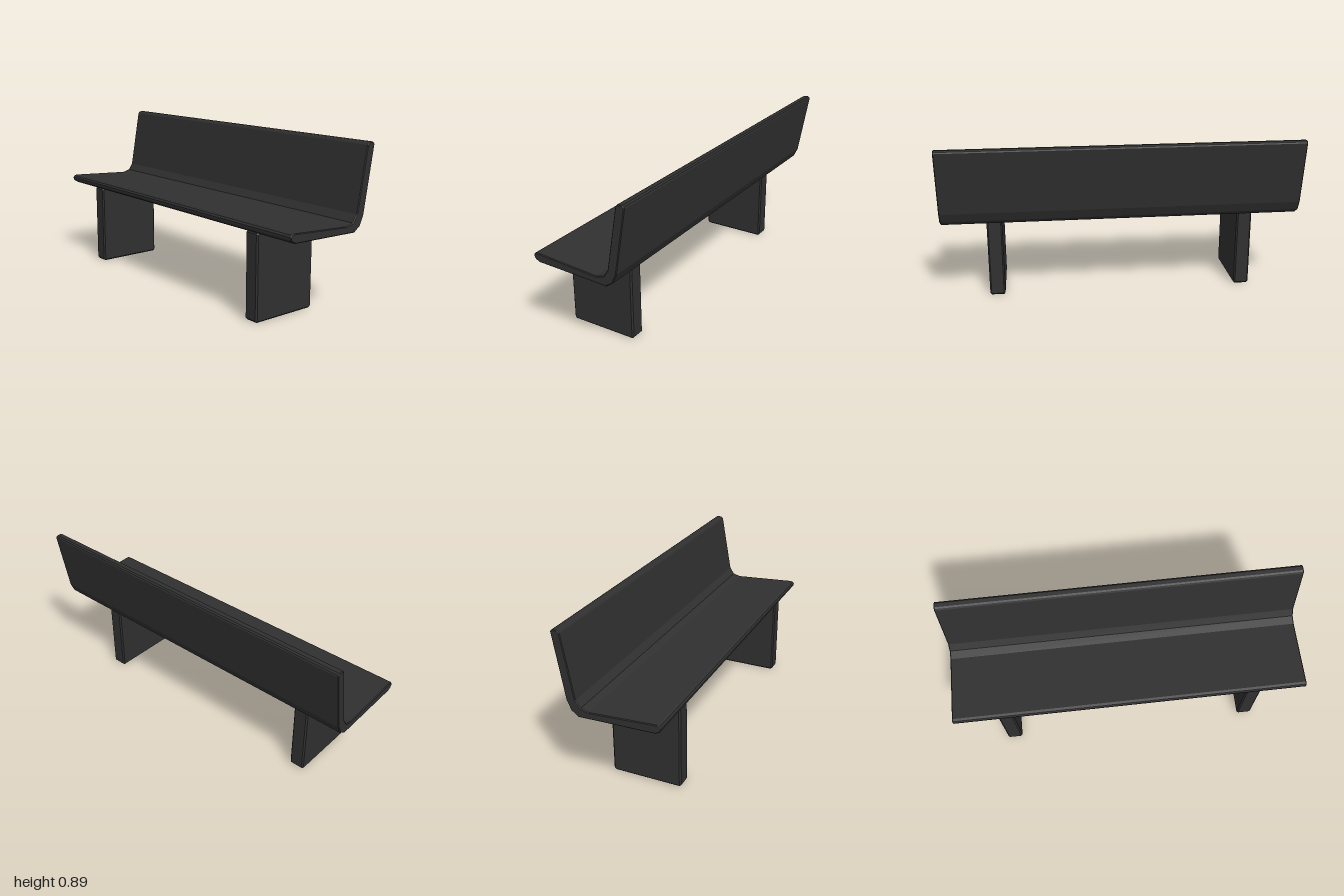
import * as THREE from 'three';

// Extrude a (z, y) side profile along x, centred on x = 0, with chamfered ends
function extrudeAcross(points, width, bevel) {
  const shape = new THREE.Shape(points.map(([z, y]) => new THREE.Vector2(z, y)));
  const geometry = new THREE.ExtrudeGeometry(shape, {
    depth: width - 2 * bevel,
    bevelEnabled: true,
    bevelSize: bevel,
    bevelThickness: bevel,
    bevelOffset: -bevel,
    bevelSegments: 1,
  });
  geometry.translate(0, 0, -(width / 2 - bevel));
  geometry.rotateY(-Math.PI / 2);
  return geometry;
}

export function createModel() {
  const group = new THREE.Group();
  group.name = 'bench';
  const charcoal = new THREE.MeshStandardMaterial({ color: 0x303030 });
  charcoal.name = 'charcoal';

  // One bent slab forms the seat and the backrest
  const slabProfile = [
    [0.254, 0.461], [-0.161, 0.449], [-0.199, 0.476], [-0.223, 0.528],
    [-0.284, 0.879], [-0.281, 0.887], [-0.272, 0.893], [-0.249, 0.892], [-0.24, 0.888], [-0.234, 0.879],
    [-0.173, 0.539], [-0.147, 0.5], [-0.102, 0.488],
    [0.263, 0.51], [0.277, 0.506], [0.284, 0.496], [0.283, 0.484], [0.275, 0.473],
  ].reverse();
  const slab = new THREE.Mesh(extrudeAcross(slabProfile, 2, 0.004), charcoal);
  slab.name = 'seatAndBackrest';
  group.add(slab);

  // Two panel legs with chamfered edges, tucked into the seat
  const front = 0.264, back = -0.126, top = 0.468, c = 0.01;
  const legProfile = [
    [back + c, 0], [front - c, 0], [front, c], [front, top - c],
    [front - c, top], [back + c, top], [back, top - c], [back, c],
  ];
  const legGeometry = extrudeAcross(legProfile, 0.086, 0.008);
  for (const [side, name] of [[1, 'leftLeg'], [-1, 'rightLeg']]) {
    const leg = new THREE.Mesh(legGeometry, charcoal);
    leg.name = name;
    leg.position.x = side * 0.711;
    group.add(leg);
  }
  return group;
}
